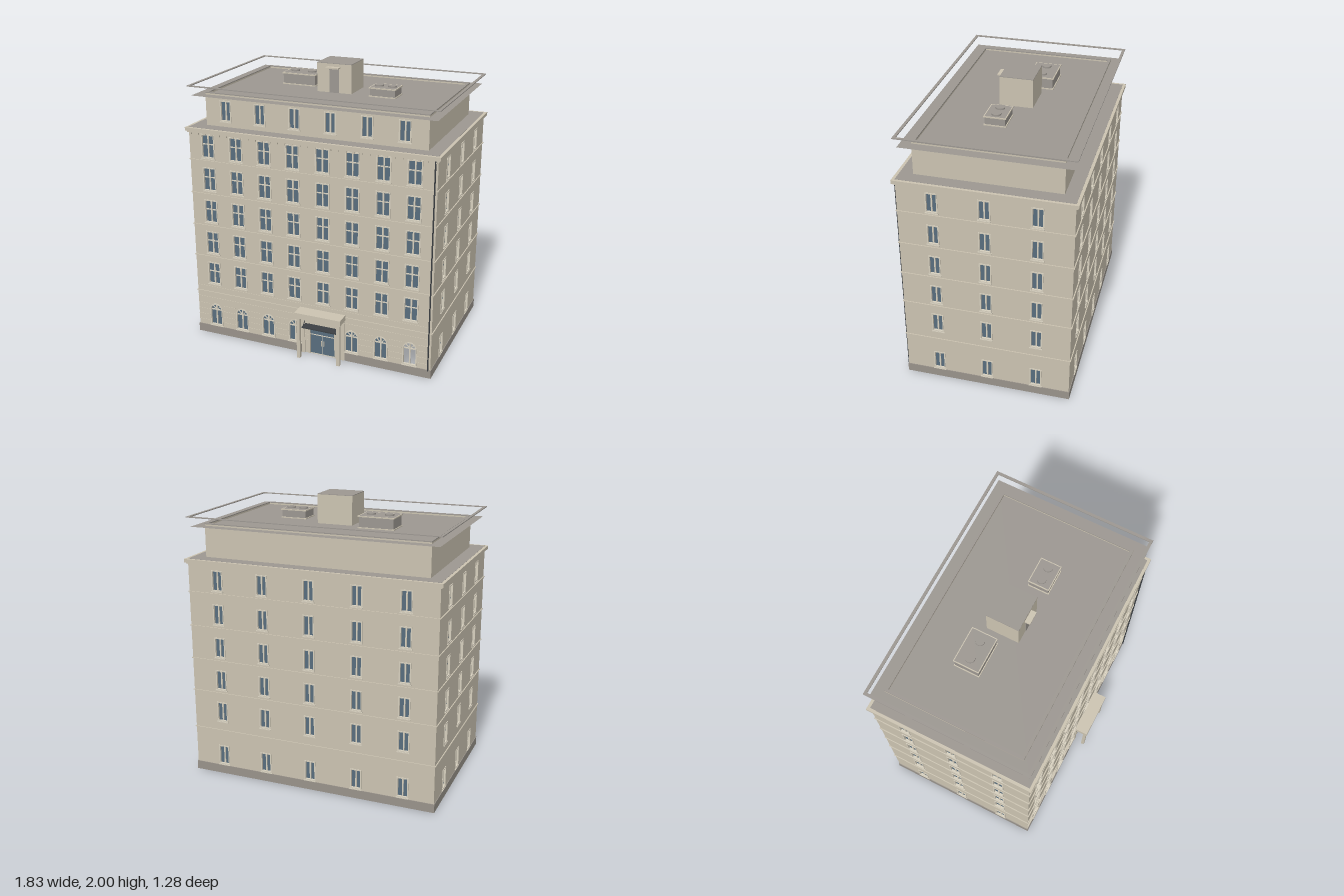
import * as THREE from 'three';

const mat = (name, color, side = THREE.FrontSide) => {
  const m = new THREE.MeshStandardMaterial({ color, side });
  m.name = name;
  return m;
};

export function createModel() {
  const stone = mat('stone', 0xcbc3b1);
  const trim = mat('window trim', 0xd6cfbe);
  const roofGray = mat('roof gray', 0x9c9791, THREE.DoubleSide);
  const plinthGray = mat('plinth gray', 0x98928a);
  const glass = mat('glass', 0x586d7d);
  const dark = mat('dark metal', 0x3c4044);

  const model = new THREE.Group();
  model.name = 'building';
  const add = (parent, name, geo, m, x = 0, y = 0, z = 0) => {
    const mesh = new THREE.Mesh(geo, m);
    mesh.name = name;
    mesh.position.set(x, y, z);
    parent.add(mesh);
    return mesh;
  };
  // Box given by its lower and upper limits
  const box = (parent, name, m, x0, x1, y0, y1, z0, z1) =>
    add(parent, name, new THREE.BoxGeometry(x1 - x0, y1 - y0, z1 - z0), m,
      (x0 + x1) / 2, (y0 + y1) / 2, (z0 + z1) / 2);

  // Rectangle or round-arched outline standing on y
  const outline = (T, x, y, w, h, arch = false) => {
    const s = new T(), r = w / 2;
    s.moveTo(x - r, y);
    s.lineTo(x + r, y);
    if (arch) {
      s.lineTo(x + r, y + h - r);
      s.absarc(x, y + h - r, r, 0, Math.PI, false);
    } else {
      s.lineTo(x + r, y + h);
      s.lineTo(x - r, y + h);
    }
    s.closePath();
    return s;
  };
  const extrude = (shape, depth) =>
    new THREE.ExtrudeGeometry(shape, { depth, bevelEnabled: false, curveSegments: 10 });

  // Horizontal rectangular ring around the block
  const ring = (name, m, w, z0, z1, y0, y1, width) => {
    const s = outline(THREE.Shape, 0, -z1, w, z1 - z0);
    s.holes.push(outline(THREE.Path, 0, -z1 + width, w - 2 * width, z1 - z0 - 2 * width));
    add(model, name, extrude(s, y1 - y0), m, 0, y0, 0).rotation.x = -Math.PI / 2;
  };

  // Window in the wall plane z = 0: trim, glass, bars and sill
  const addWindow = (parent, o) => {
    const g = new THREE.Group();
    g.name = o.arch ? 'archedWindow' : 'window';
    g.position.set(o.x, o.y, 0);
    parent.add(g);
    const t = 0.008, { w, h, arch } = o;
    const f = outline(THREE.Shape, 0, 0, w, h, arch);
    f.holes.push(outline(THREE.Path, 0, t, w - 2 * t, h - 2 * t, arch));
    add(g, 'trim', extrude(f, 0.016), trim, 0, 0, -0.012);
    if (!o.open) add(g, 'glass', extrude(outline(THREE.Shape, 0, 0, w, h, arch), 0.005), glass, 0, 0, -0.016);
    box(g, 'mullion', trim, -0.005, 0.005, t, h - t, -0.011, -0.004);
    if (o.cross) box(g, 'transom', trim, -w / 2 + t, w / 2 - t, h * 0.56, h * 0.56 + 0.007, -0.011, -0.005);
    if (arch) {
      const cy = h - w / 2;
      box(g, 'transom', trim, -w / 2 + t, w / 2 - t, cy - 0.004, cy + 0.004, -0.011, -0.005);
      for (const a of [-0.8, 0.8]) {
        const bar = add(g, 'fanBar', new THREE.BoxGeometry(0.005, w / 2 - t, 0.006), trim,
          -Math.sin(a) * 0.022, cy + Math.cos(a) * 0.022, -0.008);
        bar.rotation.z = a;
      }
    }
    box(g, 'sill', trim, -w / 2 - 0.004, w / 2 + 0.004, -0.006, 0, -0.004, 0.008);
  };

  // Wall sheet with window openings, outer face at local z = 0
  const T = 0.02;
  const wall = (name, w, y0, y1, windows, x, z, turn, extraHoles = []) => {
    const g = new THREE.Group();
    g.name = name;
    g.position.set(x, 0, z);
    g.rotation.y = turn;
    model.add(g);
    const s = outline(THREE.Shape, 0, y0, w, y1 - y0);
    for (const o of windows) s.holes.push(outline(THREE.Path, o.x, o.y, o.w, o.h, o.arch));
    s.holes.push(...extraHoles);
    add(g, 'wallSheet', extrude(s, T), stone, 0, 0, -T);
    windows.forEach(o => addWindow(g, o));
    return g;
  };

  // Main block
  const HX = 0.895, ZB = -0.62, ZF = 0.54, ZC = (ZB + ZF) / 2, TOP = 1.56;
  const frontX = [-0.75, -0.535, -0.322, -0.11, 0.107, 0.32, 0.535, 0.745];
  const rows = [0.405, 0.645, 0.885, 1.125, 1.365];
  const frontWindows = [];
  frontX.forEach((x, i) => {
    for (const y of rows) frontWindows.push({ x, y, w: 0.102, h: 0.173, cross: true });
    if (i !== 4) frontWindows.push({ x, y: 0.07, w: 0.102, h: 0.175, arch: true, open: i === 7 });
  });
  const plain = xs => xs.flatMap(x => [0.07, ...rows].map(y => ({ x, y, w: 0.082, h: 0.147 })));
  const sideLen = ZF - ZB - 2 * T;
  wall('frontWall', 2 * HX, 0.002, TOP, frontWindows, 0, ZF, 0,
    [outline(THREE.Path, 0.1, 0.004, 0.186, 0.2)]);
  wall('backWall', 2 * HX, 0, TOP, plain([-0.675, -0.34, 0, 0.34, 0.675]), 0, ZB, Math.PI);
  wall('leftWall', sideLen, 0, TOP, plain([-0.345, 0, 0.345]), HX, ZC, Math.PI / 2);
  wall('rightWall', sideLen, 0, TOP, plain([-0.345, 0, 0.345]), -HX, ZC, -Math.PI / 2);

  // Plinth, left open at the entrance
  const P = 0.005;
  box(model, 'plinthFront', plinthGray, -HX - P, -0.06, 0, 0.062, ZF - 0.01, ZF + P);
  box(model, 'plinthFront', plinthGray, 0.27, HX + P, 0, 0.062, ZF - 0.01, ZF + P);
  box(model, 'plinthBack', plinthGray, -HX - P, HX + P, 0, 0.062, ZB - P, ZB + 0.01);
  for (const s of [-1, 1]) {
    const x = s * (HX - 0.0025);
    box(model, 'plinthSide', plinthGray, x - 0.0075, x + 0.0075, 0, 0.062, ZB, ZF);
  }

  // String courses and ground floor grooves
  for (const y of [0.335, 0.62, 0.86, 1.1, 1.345])
    ring('stringCourse', stone, 2 * HX + 0.014, ZB - 0.007, ZF + 0.007, y, y + 0.005, 0.015);
  for (const y of [0.1, 0.145, 0.19, 0.235, 0.29, 0.38]) {
    const xs = y > 0.24 ? [-HX, HX]
      : [-HX, ...frontX.flatMap((x, i) => i === 4 ? [0, 0.2] : [x - 0.056, x + 0.056]), HX];
    for (let i = 0; i < xs.length; i += 2)
      box(model, 'stoneJoint', stone, xs[i], xs[i + 1], y, y + 0.003, ZF - 0.004, ZF + 0.003);
  }

  // Cornice with brackets, and the terrace behind it
  ring('corniceLower', stone, 2 * HX + 0.02, ZB - 0.01, ZF + 0.01, 1.543, 1.556, 0.03);
  ring('corniceUpper', stone, 2 * HX + 0.04, ZB - 0.02, ZF + 0.02, 1.553, 1.577, 0.04);
  for (let i = 0; i < 33; i++) {
    const x = -0.88 + i * 0.055;
    box(model, 'bracket', stone, x - 0.008, x + 0.008, 1.53, 1.546, ZF - 0.004, ZF + 0.01);
  }
  box(model, 'terrace', roofGray, -HX, HX, 1.568, 1.578, ZB, ZF);

  // Set-back top floor
  const UX = 0.803, UB = -0.53, UF = 0.45, UC = (UB + UF) / 2;
  const upper = [-0.65, -0.39, -0.133, 0.127, 0.385, 0.643]
    .map(x => ({ x, y: 1.615, w: 0.084, h: 0.148 }));
  wall('upperFront', 2 * UX, 1.57, 1.805, upper, 0, UF, 0);
  wall('upperBack', 2 * UX, 1.57, 1.805, [], 0, UB, Math.PI);
  wall('upperLeft', UF - UB - 2 * T, 1.57, 1.805, [], UX, UC, Math.PI / 2);
  wall('upperRight', UF - UB - 2 * T, 1.57, 1.805, [], -UX, UC, -Math.PI / 2);

  // Roof sheet, parapet coping and raised thin frame
  add(model, 'roofSheet', new THREE.PlaneGeometry(1.75, 1.12), roofGray, 0, 1.795, ZC)
    .rotation.x = -Math.PI / 2;
  ring('parapetCoping', roofGray, 2 * UX, UB, UF, 1.805, 1.812, 0.02);
  ring('roofFrame', roofGray, 2 * HX, ZB, ZF, 1.86, 1.866, 0.02);

  // Stair hut
  box(model, 'stairHut', stone, -0.13, 0.125, 1.79, 1.996, -0.16, 0.07);
  box(model, 'stairHutRoof', roofGray, -0.13, 0.125, 1.996, 2, -0.16, 0.07);
  box(model, 'stairHutDoor', roofGray, -0.038, 0.034, 1.795, 1.96, 0.07, 0.074);
  box(model, 'stairHutCanopy', stone, -0.05, 0.042, 1.966, 1.976, 0.07, 0.108);

  // Roof cooling units
  const coolingUnit = (x0, x1, z0, z1, top, fans, r) => {
    box(model, 'coolingPad', stone, x0, x1, 1.79, 1.802, z0, z1);
    box(model, 'coolingBody', roofGray, x0 + 0.006, x1 - 0.006, 1.8, top, z0 + 0.006, z1 - 0.006);
    ringLip(x0, x1, z0, z1, top);
    for (const x of fans)
      add(model, 'coolingFan', new THREE.CylinderGeometry(r, r, 0.012, 24), roofGray, x, top + 0.005, (z0 + z1) / 2);
  };
  const ringLip = (x0, x1, z0, z1, top) => {
    for (const z of [z0, z1 - 0.006]) box(model, 'coolingLip', stone, x0, x1, top - 0.008, top, z, z + 0.006);
    for (const x of [x0, x1 - 0.006]) box(model, 'coolingLip', stone, x, x + 0.006, top - 0.008, top, z0, z1);
  };
  coolingUnit(-0.453, -0.195, -0.227, -0.045, 1.879, [-0.39, -0.26], 0.031);
  coolingUnit(0.258, 0.45, -0.062, 0.088, 1.859, [0.307, 0.402], 0.031);

  // Entrance doors
  const door = new THREE.Group();
  door.name = 'entranceDoor';
  door.position.set(0.1, 0, ZF);
  model.add(door);
  box(door, 'doorGlass', glass, -0.093, 0.093, 0.004, 0.204, -0.016, -0.008);
  box(door, 'doorHead', trim, -0.093, 0.093, 0.15, 0.155, -0.01, -0.004);
  box(door, 'doorJoint', trim, -0.002, 0.002, 0.004, 0.15, -0.01, -0.005);
  for (const s of [-1, 1]) {
    box(door, 'doorHandle', trim, s * 0.009 - 0.002, s * 0.009 + 0.002, 0.07, 0.11, -0.01, 0);
    box(door, 'doorJamb', stone, s * 0.099 - 0.006, s * 0.099 + 0.006, 0, 0.212, -0.01, 0.005);
  }

  // Portico with thin dark canopy
  box(model, 'porticoSlab', stone, -0.07, 0.275, 0.315, 0.355, ZF, 0.64);
  for (const x of [-0.045, 0.255]) {
    box(model, 'porticoColumn', stone, x - 0.012, x + 0.012, 0, 0.315, 0.608, 0.632);
    box(model, 'porticoPilaster', stone, x - 0.012, x + 0.012, 0, 0.315, ZF, ZF + 0.008);
  }
  box(model, 'canopy', dark, -0.03, 0.232, 0.226, 0.234, ZF, 0.605);
  for (const x of [-0.024, 0.226])
    add(model, 'canopyRod', new THREE.CylinderGeometry(0.002, 0.002, 0.08, 6), dark, x, 0.257, 0.572)
      .rotation.x = -0.9;

  // Rainwater pipe
  add(model, 'rainPipe', new THREE.CylinderGeometry(0.005, 0.005, 1.49, 8), dark, 0.878, 0.8, ZF + 0.007);

  return model;
}
